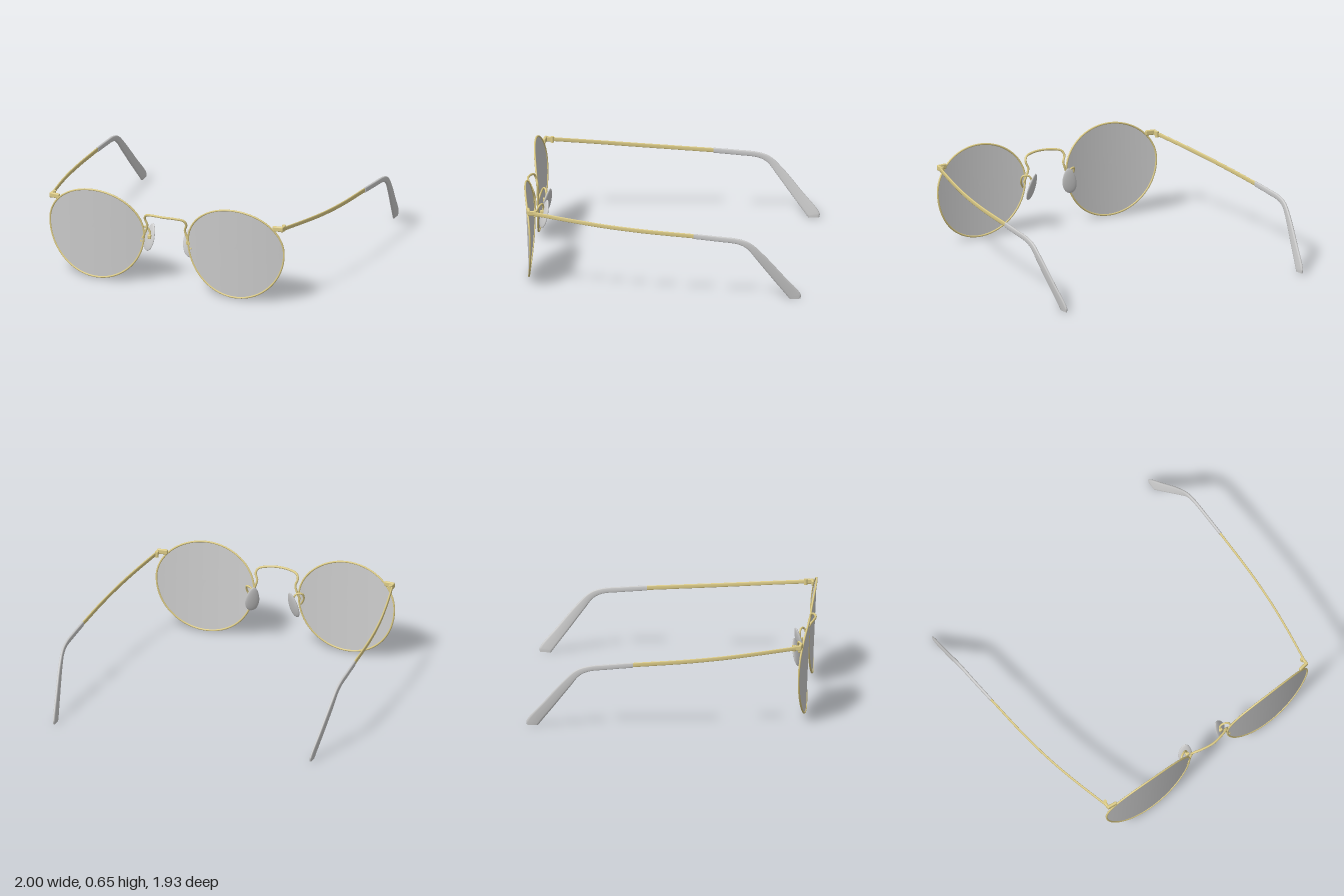
import * as THREE from 'three';
import { RoundedBoxGeometry } from 'three/addons/geometries/RoundedBoxGeometry.js';

const gold = new THREE.MeshStandardMaterial({ color: 0xdccb86 });
const grey = new THREE.MeshStandardMaterial({ color: 0xcccccc });
const greyThin = new THREE.MeshStandardMaterial({ color: 0xcccccc, side: THREE.DoubleSide });

const V = (x, y, z) => new THREE.Vector3(x, y, z);

function add(parent, name, geometry, material, x = 0, y = 0, z = 0) {
  const mesh = new THREE.Mesh(geometry, material);
  mesh.name = name;
  mesh.position.set(x, y, z);
  parent.add(mesh);
  return mesh;
}

// Point on the curved, slightly tilted lens surface; r = 1 is the outline
function lensPoint(angle, r) {
  const c = Math.cos(angle) * r, s = Math.sin(angle) * r;
  const x = 0.51 + 0.348 * c;
  const y = 0.37 + s * (s > 0 ? 0.28 : 0.358);
  const z = 0.912 + 0.043 * y - 0.28 * (x - 0.5) ** 2 - 0.02 * (x - 0.5);
  return V(x, y, z);
}

function lensGeometry() {
  const geo = new THREE.RingGeometry(0.001, 1, 80, 10);
  const p = geo.attributes.position;
  for (let i = 0; i < p.count; i++) {
    const q = lensPoint(Math.atan2(p.getY(i), p.getX(i)), Math.hypot(p.getX(i), p.getY(i)));
    p.setXYZ(i, q.x, q.y, q.z);
  }
  geo.computeVertexNormals();
  return geo;
}

function wire(points, radius, closed = false, segments = 60) {
  const curve = new THREE.CatmullRomCurve3(points.map((q) => V(...q)), closed);
  return new THREE.TubeGeometry(curve, segments, radius, 8, closed);
}

// Rounded bar lofted through sections [x, yTop, zTop, yBottom, zBottom, thickness]
function barGeometry(sections, steps, sides = 12) {
  const top = new THREE.CatmullRomCurve3(sections.map((s) => V(s[0], s[1], s[2])));
  const bottom = new THREE.CatmullRomCurve3(sections.map((s) => V(s[0], s[3], s[4])));
  const positions = [], index = [];
  for (let i = 0; i <= steps; i++) {
    const t = i / steps, f = t * (sections.length - 1);
    const k = Math.min(Math.floor(f), sections.length - 2);
    const thick = THREE.MathUtils.lerp(sections[k][5], sections[k + 1][5], f - k);
    const a = top.getPoint(t), b = bottom.getPoint(t);
    for (let j = 0; j < sides; j++) {
      const ang = (j / sides) * Math.PI * 2;
      const c = Math.cos(ang), s = Math.sin(ang);
      const q = b.clone().lerp(a, 0.5 + 0.5 * Math.sign(s) * Math.abs(s) ** 0.6);
      positions.push(q.x + 0.5 * thick * Math.sign(c) * Math.abs(c) ** 0.6, q.y, q.z);
      if (i < steps) {
        const m = i * sides + j, n = i * sides + ((j + 1) % sides);
        index.push(m, n, m + sides, n, n + sides, m + sides);
      }
    }
  }
  // Flat end caps with their own corners
  for (const ring of [0, steps]) {
    const base = positions.length / 3;
    for (let j = 0; j < sides * 3; j++) positions.push(positions[ring * sides * 3 + j]);
    for (let j = 1; j < sides - 1; j++) {
      if (ring) index.push(base, base + j, base + j + 1);
      else index.push(base, base + j + 1, base + j);
    }
  }
  const geo = new THREE.BufferGeometry();
  geo.setAttribute('position', new THREE.Float32BufferAttribute(positions, 3));
  // Sections run toward -z with angle from +x to +y, so wind faces outward
  for (let i = 0; i < index.length; i += 3) [index[i + 1], index[i + 2]] = [index[i + 2], index[i + 1]];
  geo.setIndex(index);
  geo.computeVertexNormals();
  return geo;
}

// Teardrop pad, narrower toward the top
function padGeometry() {
  const geo = new THREE.SphereGeometry(1, 28, 18);
  const p = geo.attributes.position;
  for (let i = 0; i < p.count; i++) {
    const y = p.getY(i);
    p.setXYZ(i, p.getX(i) * 0.047 * (1 - 0.22 * y), y * 0.098, p.getZ(i) * 0.013);
  }
  geo.computeVertexNormals();
  return geo;
}

function createSide(name) {
  const side = new THREE.Group();
  side.name = name;

  // Lens and rim
  add(side, 'lens', lensGeometry(), greyThin);
  const outline = [];
  for (let i = 0; i < 48; i++) outline.push(lensPoint((i / 48) * Math.PI * 2, 1).toArray());
  add(side, 'rim', wire(outline, 0.0065, true, 120), gold);

  // End piece and hinge
  const end = add(side, 'endPiece', new RoundedBoxGeometry(0.075, 0.036, 0.02, 3, 0.008), gold, 0.82, 0.55, 0.897);
  end.rotation.y = 0.12;
  add(side, 'hingeBlock', new RoundedBoxGeometry(0.018, 0.034, 0.06, 3, 0.006), gold, 0.848, 0.547, 0.872);
  add(side, 'hingeBarrel', new THREE.CylinderGeometry(0.013, 0.013, 0.04, 14), gold, 0.843, 0.545, 0.85);

  // Temple arm and its bent tip
  add(side, 'templeArm', barGeometry([
    [0.85, 0.56, 0.87, 0.532, 0.87, 0.012],
    [0.903, 0.531, 0.6, 0.503, 0.6, 0.012],
    [0.938, 0.509, 0.38, 0.48, 0.38, 0.012],
    [0.964, 0.488, 0.12, 0.458, 0.12, 0.012],
    [0.981, 0.465, -0.24, 0.434, -0.24, 0.012],
  ], 32), gold);
  add(side, 'templeTip', barGeometry([
    [0.981, 0.467, -0.235, 0.431, -0.235, 0.017],
    [0.987, 0.454, -0.4, 0.417, -0.4, 0.018],
    [0.99, 0.44, -0.54, 0.401, -0.54, 0.019],
    [0.988, 0.412, -0.62, 0.37, -0.6, 0.019],
    [0.978, 0.335, -0.705, 0.295, -0.66, 0.019],
    [0.952, 0.18, -0.84, 0.15, -0.77, 0.018],
    [0.927, 0.035, -0.96, 0.018, -0.872, 0.017],
    [0.925, 0.006, -0.958, 0.004, -0.882, 0.014],
  ], 56), grey);

  // Nose pad with its wire arm and mount
  add(side, 'padArm', wire([
    [0.18, 0.31, 0.903], [0.205, 0.36, 0.885], [0.2, 0.4, 0.865],
    [0.165, 0.4, 0.848], [0.145, 0.37, 0.843], [0.14, 0.335, 0.848],
  ], 0.007), gold);
  add(side, 'padMount', new RoundedBoxGeometry(0.026, 0.03, 0.03, 3, 0.006), gold, 0.142, 0.335, 0.85);
  const pad = add(side, 'nosePad', padGeometry(), grey, 0.147, 0.325, 0.835);
  const up = V(-0.035, 0.19, -0.04).normalize();
  const normal = V(0.1, 0, -0.055).cross(up).normalize();
  pad.quaternion.setFromRotationMatrix(new THREE.Matrix4().makeBasis(up.clone().cross(normal), up, normal));
  return side;
}

export function createModel() {
  const model = new THREE.Group();
  model.name = 'glasses';
  model.add(createSide('leftSide'));
  const right = createSide('rightSide');
  right.scale.x = -1;
  model.add(right);

  // Arched bridge with curled ends meeting the rims
  const half = [
    [0.172, 0.34, 0.904], [0.15, 0.395, 0.898], [0.138, 0.44, 0.902],
    [0.152, 0.485, 0.912], [0.138, 0.515, 0.925], [0.08, 0.529, 0.945],
  ];
  const mirrored = half.map(([x, y, z]) => [-x, y, z]).reverse();
  add(model, 'bridge', wire([...half, [0, 0.532, 0.957], ...mirrored], 0.008, false, 120), gold);
  return model;
}
